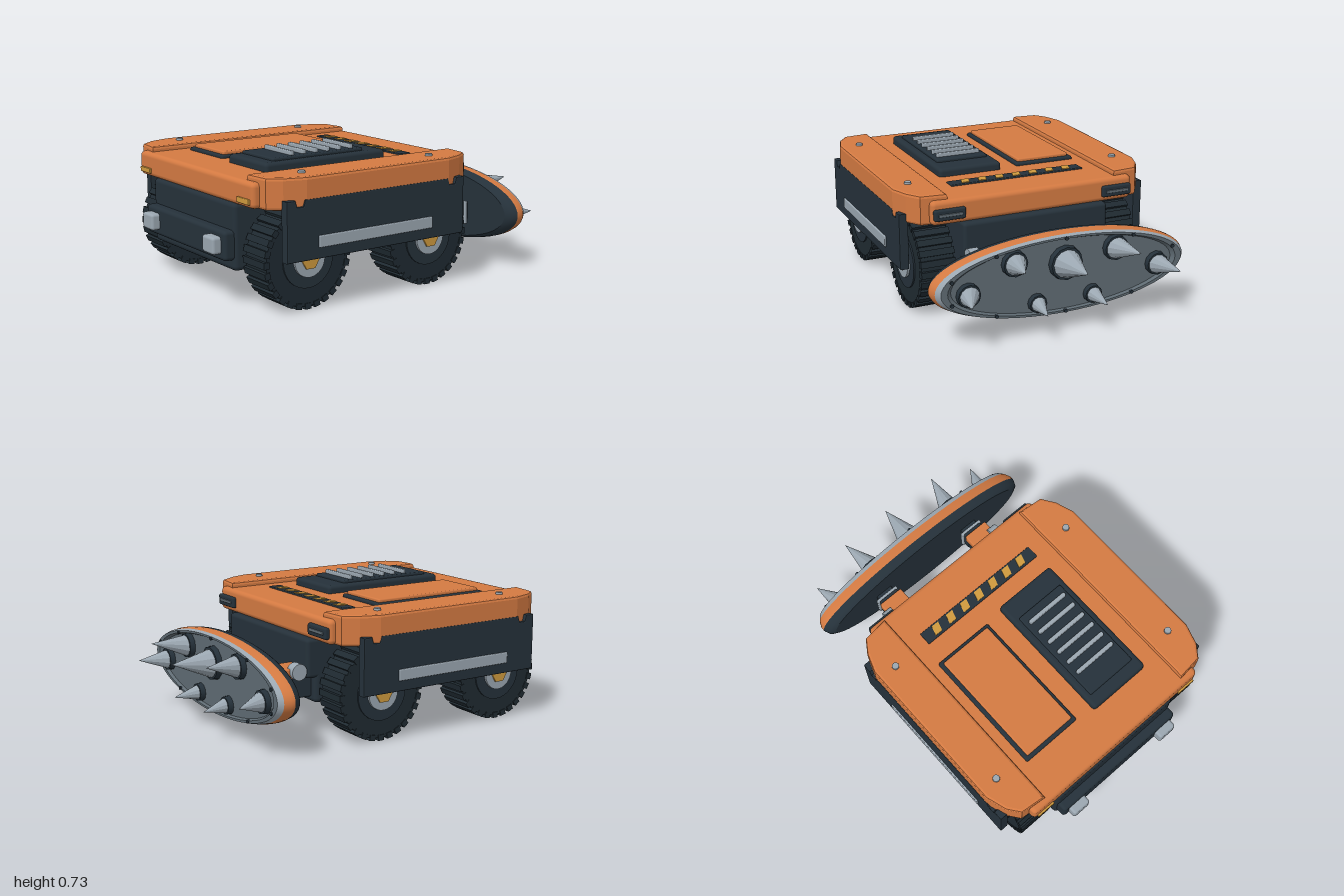
import * as THREE from 'three';
import { RoundedBoxGeometry } from 'three/addons/geometries/RoundedBoxGeometry.js';

const mat = (name, color) => {
  const m = new THREE.MeshStandardMaterial({ color });
  m.name = name;
  return m;
};

export function createModel() {
  const orange = mat('orange paint', 0xd47a42);
  const dark = mat('dark slate', 0x25313a);
  const tyre = mat('tyre rubber', 0x1f2a31);
  const grey = mat('light steel', 0x9ba7b1);
  const steel = mat('dark steel', 0x5f6b73);
  const gold = mat('amber', 0xcf9a3e);

  const model = new THREE.Group();
  model.name = 'spikedRover';

  const add = (name, geo, material, parent = model) => {
    const mesh = new THREE.Mesh(geo, material);
    mesh.name = name;
    parent.add(mesh);
    return mesh;
  };
  // Rounded box given by its limits on each axis
  const box = (name, material, [x0, x1], [y0, y1], [z0, z1], r = 0.01, parent = model) => {
    const w = x1 - x0, h = y1 - y0, d = z1 - z0;
    const radius = Math.min(r, w * 0.45, h * 0.45, d * 0.45);
    const mesh = add(name, new RoundedBoxGeometry(w, h, d, 2, radius), material, parent);
    mesh.position.set((x0 + x1) / 2, (y0 + y1) / 2, (z0 + z1) / 2);
    return mesh;
  };
  // Limits mirrored to side s
  const side = (s, a, b) => (s > 0 ? [a, b] : [-b, -a]);
  const shapeOf = (pts) => new THREE.Shape(pts.map(([x, y]) => new THREE.Vector2(x, y)));
  const extrude = (shape, height, bevel) => {
    const g = new THREE.ExtrudeGeometry(shape, {
      depth: height - 2 * bevel, bevelEnabled: bevel > 0, bevelSize: bevel,
      bevelThickness: bevel, bevelOffset: -bevel, bevelSegments: 2,
    });
    return g.translate(0, 0, bevel);
  };

  // Hull and bumper
  box('hull', dark, [-0.41, 0.41], [0.185, 0.525], [-0.4, 0.905], 0.025);
  box('rearHull', dark, [-0.41, 0.41], [0.32, 0.525], [-0.445, -0.3], 0.02);
  box('frontBumper', dark, [-0.4, 0.4], [0.24, 0.39], [0.85, 0.955], 0.02);

  // Deck with its panels
  box('deck', orange, [-0.57, 0.57], [0.52, 0.648], [-0.415, 0.9], 0.025);
  box('hatchFrame', dark, [-0.42, -0.08], [0.63, 0.665], [-0.02, 0.675], 0.01);
  box('hatchPanel', orange, [-0.4, -0.098], [0.64, 0.682], [0, 0.655], 0.008);
  box('ventBase', dark, [0.02, 0.377], [0.63, 0.692], [-0.04, 0.7], 0.02);
  box('ventPlate', dark, [0.052, 0.342], [0.66, 0.707], [0.08, 0.635], 0.008);
  for (let i = 0; i < 6; i++) {
    const z = 0.14 + i * 0.073;
    box('ventSlat', grey, [0.075, 0.322], [0.7, 0.728], [z - 0.011, z + 0.011], 0.006);
  }
  box('hazardStrip', dark, [-0.383, 0.378], [0.63, 0.656], [-0.21, -0.137], 0.005);
  for (let i = 0; i < 7; i++) {
    const mark = extrude(shapeOf([[-0.03, -0.026], [0.014, -0.026], [0.03, 0.026], [-0.014, 0.026]]), 0.006, 0);
    mark.rotateX(-Math.PI / 2);
    add('hazardMark', mark, gold).position.set(-0.297 + i * 0.0975, 0.654, -0.174);
  }

  for (const s of [1, -1]) {
    // Chamfered side pod
    const pod = extrude(shapeOf([
      [0.475, 0.39], [0.615, 0.375], [0.665, 0.3], [0.7, 0.2], [0.7, -0.68],
      [0.665, -0.79], [0.615, -0.855], [0.475, -0.87],
    ].map(([x, y]) => [s * x, y])), 0.158, 0.015);
    add('sidePod', pod.rotateX(-Math.PI / 2), orange).position.y = 0.518;
    for (const z of [-0.15, 0.64]) {
      add('podBolt', new THREE.CylinderGeometry(0.018, 0.02, 0.02, 16), grey).position.set(s * 0.597, 0.677, z);
    }

    // Side skirt with notched upper edge and a trim bar
    const skirt = extrude(shapeOf([
      [-0.3, 0.27], [0.795, 0.27], [0.795, 0.568], [0.745, 0.568], [0.735, 0.535], [0.7, 0.535],
      [0.69, 0.568], [-0.195, 0.568], [-0.205, 0.535], [-0.24, 0.535], [-0.25, 0.568], [-0.3, 0.568],
    ]), 0.05, 0.006).translate(0, 0, -0.025);
    add('sideSkirt', skirt.rotateY(-Math.PI / 2), dark).position.x = s * 0.678;
    box('skirtTrim', grey, side(s, 0.69, 0.711), [0.325, 0.385], [-0.09, 0.615], 0.006);

    // Front and rear lights
    box('headlight', grey, side(s, 0.257, 0.366), [0.273, 0.36], [0.94, 1.0], 0.015);
    box('frontMarker', gold, side(s, 0.44, 0.547), [0.54, 0.567], [0.89, 0.91], 0.004);
    box('rearLightHousing', dark, side(s, 0.39, 0.56), [0.548, 0.608], [-0.434, -0.38], 0.01);
    box('rearLightSlat', steel, side(s, 0.41, 0.54), [0.57, 0.586], [-0.439, -0.42], 0.004);

    // Rear arm carrying the spiked shield
    box('armBeam', dark, side(s, 0.255, 0.37), [0.215, 0.33], [-0.6, -0.34], 0.01);
    box('armCover', orange, side(s, 0.238, 0.385), [0.325, 0.378], [-0.58, -0.4], 0.008);
    box('armCollar', dark, side(s, 0.25, 0.37), [0.22, 0.345], [-0.608, -0.57], 0.008);
    box('armFlange', grey, side(s, 0.24, 0.38), [0.21, 0.34], [-0.625, -0.604], 0.006);
    box('armMount', dark, side(s, 0.26, 0.36), [0.23, 0.33], [-0.66, -0.62], 0.005);
    const pin = new THREE.CylinderGeometry(0.043, 0.043, 0.055, 20).rotateZ(Math.PI / 2);
    add('armPin', pin, grey).position.set(s * 0.383, 0.362, -0.49);

    // Wheels
    for (const z of [0.62, -0.135]) {
      const wheel = new THREE.Group();
      wheel.name = 'wheel';
      wheel.position.set(s * 0.525, 0.253, z);
      model.add(wheel);
      const disc = (name, material, r, x0, x1, sides = 32) => {
        const g = new THREE.CylinderGeometry(r, r, x1 - x0, sides).rotateZ(Math.PI / 2);
        add(name, g, material, wheel).position.x = s * (x0 + x1) / 2;
      };
      disc('tyreBody', tyre, 0.238, -0.09, 0.09, 40);
      disc('tyreInnerRing', dark, 0.145, -0.1, 0.098);
      disc('hubDisc', grey, 0.088, 0.08, 0.111, 28);
      disc('hubNut', gold, 0.05, 0.1, 0.12, 6);
      disc('axle', dark, 0.05, -0.525, -0.08, 16);
      for (let i = 0; i < 28; i++) {
        const a = (i / 28) * Math.PI * 2;
        const lug = add('treadLug', new THREE.BoxGeometry(0.19, 0.03, 0.034), tyre, wheel);
        lug.position.set(0, Math.cos(a) * 0.237, Math.sin(a) * 0.237);
        lug.rotation.x = a;
      }
    }
  }

  // Oval shield, built from coloured rings
  const shield = new THREE.Group();
  shield.name = 'shield';
  shield.position.y = 0.302;
  model.add(shield);
  const ring = (name, material, pts) => {
    const g = new THREE.LatheGeometry(pts.map(([r, y]) => new THREE.Vector2(r, y)), 64);
    add(name, g.rotateX(-Math.PI / 2).scale(0.705, 0.212, 1), material, shield);
  };
  ring('shieldBack', dark, [[0, 0.643], [0.93, 0.643]]);
  ring('shieldBackEdge', dark, [[0.93, 0.643], [0.98, 0.66], [1, 0.693]]);
  ring('shieldBand', orange, [[1, 0.693], [1, 0.715], [0.98, 0.747]]);
  ring('shieldRim', grey, [[0.98, 0.747], [0.95, 0.772]]);
  ring('shieldFace', steel, [[0.95, 0.772], [0.9, 0.772]]);
  ring('shieldRecess', steel, [[0.9, 0.772], [0.87, 0.757]]);
  ring('shieldCentre', steel, [[0.87, 0.757], [0, 0.757]]);
  for (let i = 0; i < 10; i++) {
    const a = ((i + 0.5) / 10) * Math.PI * 2;
    const bolt = new THREE.CylinderGeometry(0.01, 0.01, 0.012, 10).rotateX(Math.PI / 2);
    add('shieldBolt', bolt, dark, shield).position.set(Math.cos(a) * 0.645, Math.sin(a) * 0.193, -0.773);
  }

  // Spikes leaning outwards: base x, y, radius, then tip x, y, z
  const spike = (x, y, r, tx, ty, tz) => {
    const base = new THREE.Vector3(x, y, -0.77), tip = new THREE.Vector3(tx, ty, tz);
    const dir = tip.clone().sub(base), h = dir.length();
    const collar = new THREE.CylinderGeometry(r * 1.08, r * 1.15, 0.035, 12).rotateX(-Math.PI / 2);
    add('spikeCollar', collar, dark).position.set(x, y, -0.768);
    const cone = new THREE.ConeGeometry(r, h, 12).translate(0, h / 2, 0).toNonIndexed();
    cone.computeVertexNormals();
    const mesh = add('spike', cone, grey);
    mesh.position.copy(base);
    mesh.quaternion.setFromUnitVectors(new THREE.Vector3(0, 1, 0), dir.normalize());
  };
  spike(0, 0.365, 0.08, 0, 0.385, -1.0);
  for (const s of [1, -1]) {
    spike(s * 0.28, 0.405, 0.06, s * 0.315, 0.43, -0.965);
    spike(s * 0.525, 0.28, 0.055, s * 0.573, 0.28, -0.928);
    spike(s * 0.155, 0.175, 0.043, s * 0.166, 0.162, -0.912);
  }

  return model;
}
